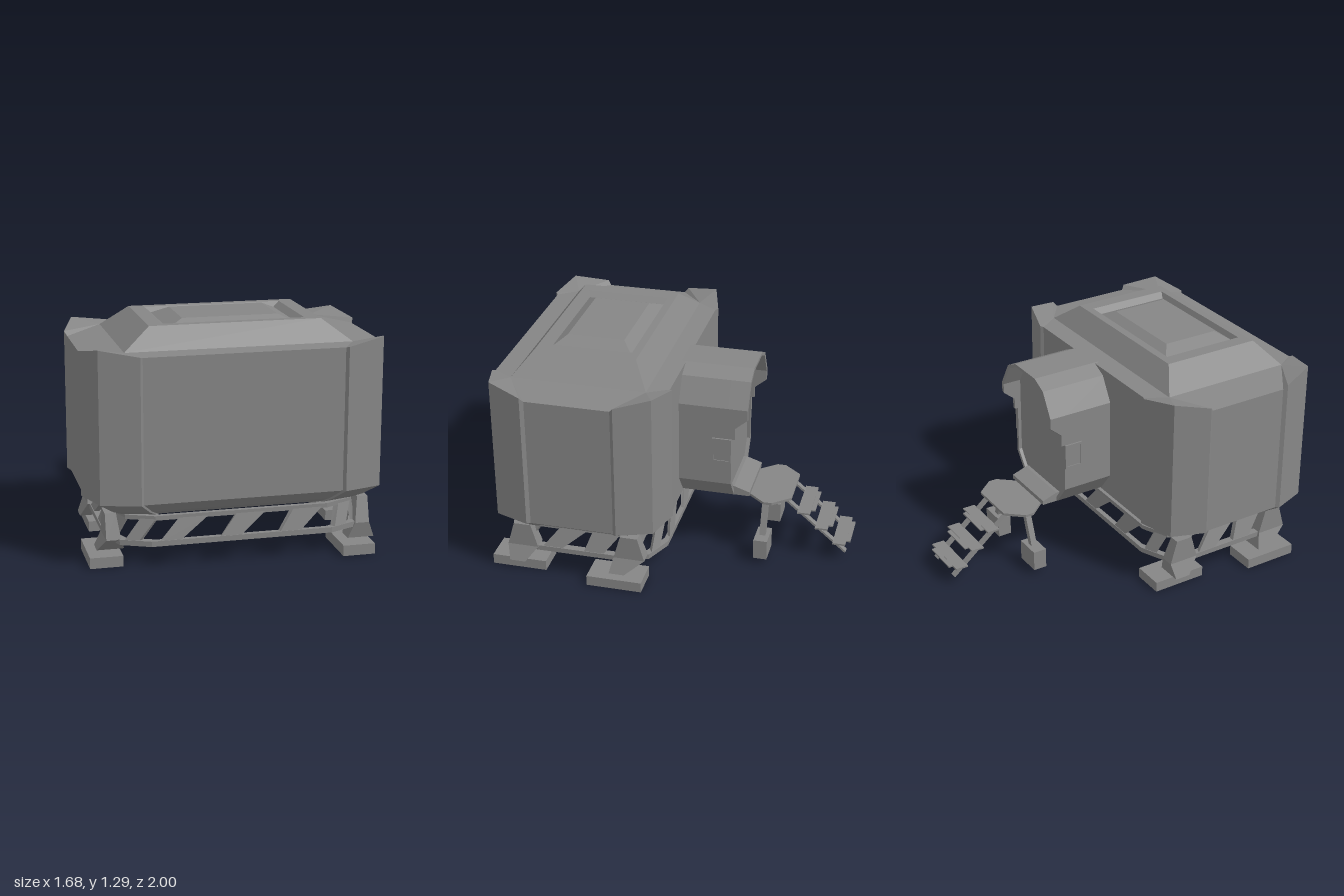
import * as THREE from 'three';

const mat = new THREE.MeshStandardMaterial({ color: 0x868686, flatShading: true, side: THREE.DoubleSide });
const CZ = 0.483; // middle of the cabin along z
const EX = 0.077; // middle of the entrance along x

function add(parent, name, geo, x = 0, y = 0, z = 0) {
  const m = new THREE.Mesh(geo, mat);
  m.name = name;
  m.position.set(x, y, z);
  parent.add(m);
  return m;
}

function group(parent, name, x = 0, z = 0) {
  const g = new THREE.Group();
  g.name = name;
  g.position.set(x, 0, z);
  parent.add(g);
  return g;
}

// Joins equal-sized loops of [x, y, z] points, with flat end caps
function loft(rings, capStart = true, capEnd = true) {
  const pos = [], v = (p) => new THREE.Vector3(...p);
  const tri = (a, b, c) => {
    const area = v(b).sub(v(a)).cross(v(c).sub(v(a))).length();
    if (area > 1e-9) pos.push(...a, ...b, ...c);
  };
  const n = rings[0].length;
  for (let i = 0; i + 1 < rings.length; i++) {
    for (let j = 0; j < n; j++) {
      const k = (j + 1) % n;
      tri(rings[i][j], rings[i][k], rings[i + 1][k]);
      tri(rings[i][j], rings[i + 1][k], rings[i + 1][j]);
    }
  }
  const first = rings[0], last = rings[rings.length - 1];
  for (let j = 1; j + 1 < n; j++) {
    if (capStart) tri(first[0], first[j + 1], first[j]);
    if (capEnd) tri(last[0], last[j], last[j + 1]);
  }
  const g = new THREE.BufferGeometry();
  g.setAttribute('position', new THREE.Float32BufferAttribute(pos, 3));
  g.computeVertexNormals();
  return g;
}

// Mirrors one corner's [x, y, z] points into a full loop around the y axis
function mirrorLoop(corner) {
  const back = [...corner].reverse();
  return [
    ...corner,
    ...back.map(([x, y, z]) => [x, y, -z]),
    ...corner.map(([x, y, z]) => [-x, y, -z]),
    ...back.map(([x, y, z]) => [-x, y, z]),
  ];
}
const rect = (hx, y, hz, cx = 0, cz = 0) =>
  mirrorLoop([[hx, y, hz]]).map(([x, yy, z]) => [x + cx, yy, z + cz]);

// Square bar between two points
function bar(a, b, w, h) {
  const A = new THREE.Vector3(...a), B = new THREE.Vector3(...b);
  const g = new THREE.BoxGeometry(w, h, A.distanceTo(B));
  g.applyMatrix4(new THREE.Matrix4().lookAt(B, A, new THREE.Vector3(0, 1, 0)));
  const mid = A.add(B).multiplyScalar(0.5);
  return g.translate(mid.x, mid.y, mid.z);
}

const poly = (pts) => new THREE.Shape(pts.map(([x, y]) => new THREE.Vector2(x, y)));
const extrude = (shape, depth) => new THREE.ExtrudeGeometry(shape, { depth, bevelEnabled: false });
const mirrorX = (half) => [...half, ...[...half].reverse().map(([x, y]) => [-x, y])];

function buildCabin(root) {
  const cabin = group(root, 'cabin', 0, CZ);
  // Plan of one corner: recessed front panel, raised corner post, recessed side panel
  const plan = [[0.545, 0.5], [0.56, 0.515], [0.77, 0.455], [0.84, 0.26], [0.825, 0.24]];
  const topY = [1.16, 1.165, 1.2, 1.16, 1.135];
  const level = (sx, y, sz) => mirrorLoop(plan.map(([x, z]) => [x * sx, y, z * sz]));
  add(cabin, 'hull', loft([
    level(0.3, 0.256, 0.3),
    level(0.83, 0.285, 0.8),
    level(0.9, 0.312, 0.88),
    level(1, 0.37, 1),
    mirrorLoop(plan.map(([x, z], i) => [x, topY[i], z])),
    mirrorLoop(plan.map(() => [0.62, 1.165, 0.385])),
  ], true, false));
  add(cabin, 'roof', loft([rect(0.62, 1.165, 0.385), rect(0.47, 1.28, 0.29), rect(0.39, 1.28, 0.245)], false, false));
  add(cabin, 'roofHatch', loft([rect(0.39, 1.28, 0.245), rect(0.355, 1.25, 0.23), rect(0.265, 1.29, 0.165)], false, true));
}

function buildUndercarriage(root) {
  const base = group(root, 'undercarriage', 0, CZ);
  const corner = [[0.5, 0.47], [0.66, 0.4], [0.72, 0.25]];
  const loop = (s, y) => mirrorLoop(corner.map(([x, z]) => [x * s, y, z * s]));
  // Lower and upper rails
  for (const [name, s, y, h] of [['lowerRail', 1, 0.125, 0.03], ['upperRail', 0.95, 0.262, 0.025]]) {
    const shape = poly(loop(s, 0).map(([x, , z]) => [x, -z]));
    shape.holes.push(poly(loop(s * 0.94, 0).map(([x, , z]) => [x, -z])));
    add(base, name, extrude(shape, h).rotateX(-Math.PI / 2), 0, y);
  }
  // Leaning brace plates, wider at the top, all the way round
  const low = loop(1, 0.14), high = loop(0.95, 0.27);
  low.forEach((a, i) => {
    const k = (i + 1) % low.length;
    const len = Math.hypot(low[k][0] - a[0], low[k][2] - a[2]);
    const count = len > 0.8 ? 3 : len > 0.4 ? 2 : 1;
    const at = (ring, t, s) => ring[i].map((c, d) => (c + (ring[k][d] - c) * t) * (d === 1 ? 1 : s));
    const plate = (ring, t, w) => [at(ring, t, 1), at(ring, t + w, 1), at(ring, t + w, 0.96), at(ring, t, 0.96)];
    const w = Math.min(0.11 / len, 0.45), wTop = Math.min(0.17 / len, 0.5);
    for (let n = 0; n < count; n++) {
      const t = (n + 0.1) / count;
      add(base, 'brace', loft([plate(low, t, w), plate(high, Math.min(t + 0.1 / len, 1 - wTop), wTop)]));
    }
  });
  // Legs and foot pads, repeated by a half turn
  for (const s of [1, -1]) {
    for (const [x, z, tz] of [[0.643, 0.357, 0.33], [0.73, -0.233, -0.3]]) {
      add(base, 'footPad', new THREE.BoxGeometry(0.18, 0.06, 0.32), s * x, 0.03, s * z);
      add(base, 'leg', loft([
        rect(0.075, 0.06, 0.045, s * 0.69, s * z),
        rect(0.04, 0.15, 0.09, s * 0.69, s * tz),
        rect(0.03, 0.29, 0.05, s * 0.7, s * tz),
      ]));
    }
  }
}

function buildEntrance(root) {
  const entry = group(root, 'entrance', EX);
  const half = [[0.19, 0.38], [0.28, 0.5], [0.28, 0.98], [0.2, 1.12], [0.11, 1.163]];
  const inset = ([x, y]) => [x * 0.93, 0.77 + (y - 0.77) * 0.955];
  add(entry, 'tunnel', extrude(poly(mirrorX(half)), 0.31), 0, 0, -0.3);
  const rim = poly(mirrorX(half));
  rim.holes.push(poly(mirrorX(half).map(inset)));
  add(entry, 'doorRim', extrude(rim, 0.02), 0, 0, -0.32);

  // Hood over the door, stepped back at its lower ends
  const arch = [[0.28, 0.79, -0.34], [0.28, 0.86, -0.34], [0.28, 0.92, -0.41],
    [0.28, 0.98, -0.41], [0.2, 1.12, -0.41], [0.11, 1.163, -0.41]];
  const path = [...arch, ...[...arch].reverse().map(([x, y, z]) => [-x, y, z])];
  add(entry, 'hood', loft(path.map(([x, y, z]) => {
    const [ix, iy] = inset([x, y]);
    return [[x, y, -0.32], [x, y, z], [ix, iy, z], [ix, iy, -0.32]];
  })));

  // Sloping sill
  const sill = [[0.3, 0.375], [0.41, 0.375], [0.41, 0.4], [0.32, 0.43], [0.3, 0.43]];
  add(entry, 'sill', extrude(poly(sill), 0.36).rotateY(Math.PI / 2), -0.18);

  // Framed panel on each side
  for (const s of [1, -1]) {
    const frame = poly([[-0.055, -0.075], [0.055, -0.075], [0.055, 0.075], [-0.055, 0.075]]);
    frame.holes.push(poly([[-0.043, -0.063], [0.043, -0.063], [0.043, 0.063], [-0.043, 0.063]]));
    add(entry, 'sidePanelFrame', extrude(frame, 0.02).rotateY(s * Math.PI / 2), s * 0.27, 0.715, -0.265);
    add(entry, 'sidePanel', new THREE.BoxGeometry(0.01, 0.126, 0.086), s * 0.28, 0.715, -0.265);
  }
}

function buildStairs(root) {
  const stairs = group(root, 'stairs', EX);
  const deck = [[0.14, 0.32], [0.14, 0.4], [0.225, 0.5], [0.225, 0.55], [0.14, 0.65]];
  add(stairs, 'platform', extrude(poly(mirrorX(deck)), 0.015).rotateX(-Math.PI / 2), 0, 0.36);
  for (const s of [1, -1]) {
    add(stairs, 'stairRail', bar([s * 0.11, 0.362, -0.6], [s * 0.11, 0.045, -0.975], 0.035, 0.012));
    add(stairs, 'platformPost', bar([s * 0.13, 0.365, -0.5], [s * 0.21, 0.14, -0.5], 0.035, 0.035));
    add(stairs, 'platformFoot', new THREE.BoxGeometry(0.155, 0.12, 0.08), s * 0.213, 0.09, -0.5);
  }
  // Treads with a narrower lip towards the outside
  for (let i = 0; i < 3; i++) {
    const tread = group(stairs, 'tread', 0, -0.725 - i * 0.1065);
    const y = 0.287 - i * 0.089;
    add(tread, 'treadBoard', new THREE.BoxGeometry(0.31, 0.01, 0.075), 0, y, 0);
    add(tread, 'treadLip', new THREE.BoxGeometry(0.22, 0.008, 0.075), 0, y, -0.0245);
  }
}

export function createModel() {
  const root = new THREE.Group();
  root.name = 'raisedCabin';
  buildCabin(root);
  buildUndercarriage(root);
  buildEntrance(root);
  buildStairs(root);
  return root;
}
